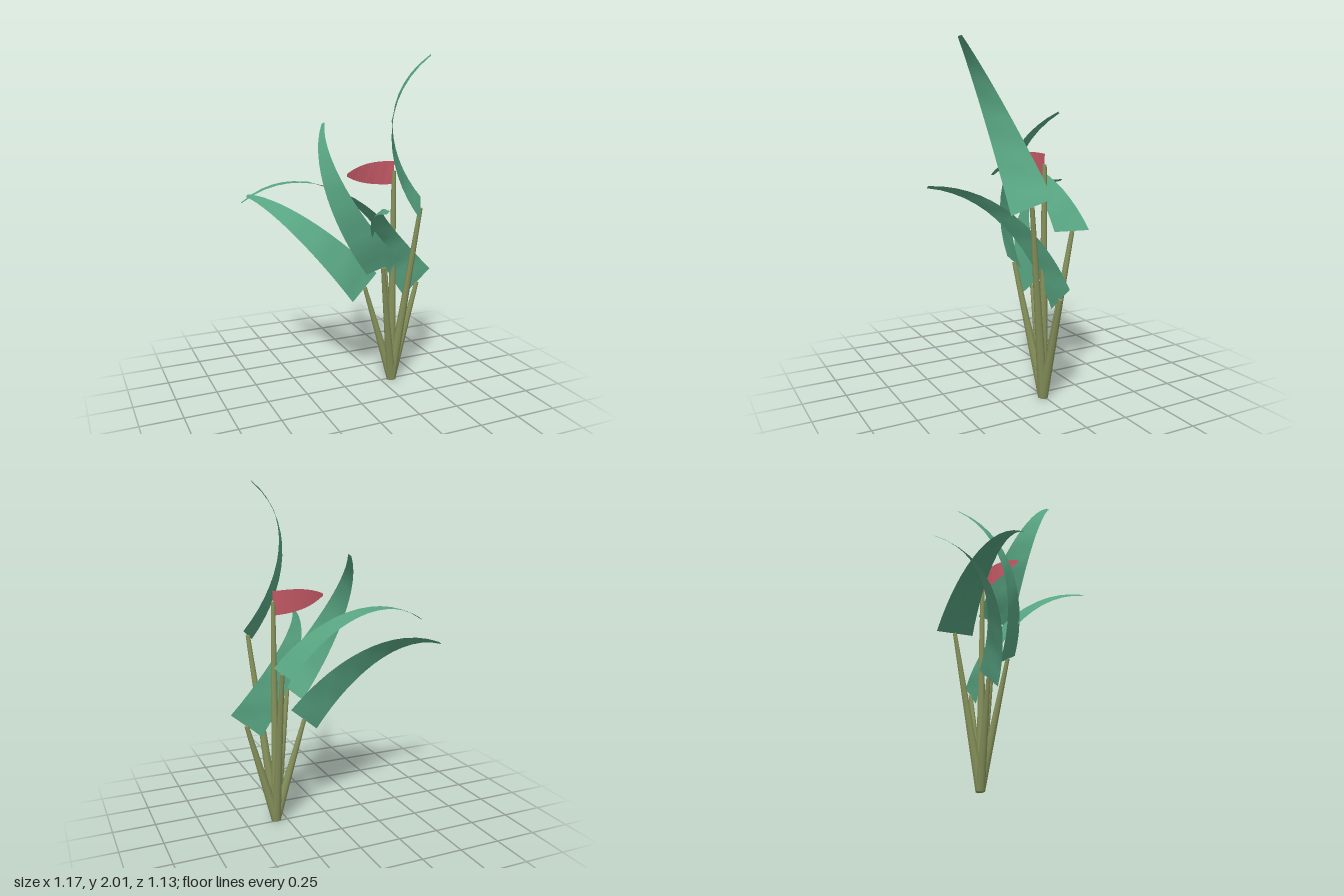
import * as THREE from 'three';

const leafGreen = new THREE.MeshStandardMaterial({ color: 0x58a582, side: THREE.DoubleSide });
leafGreen.name = 'leafGreen';
const stemOlive = new THREE.MeshStandardMaterial({ color: 0x87935c });
stemOlive.name = 'stemOlive';
const petalRed = new THREE.MeshStandardMaterial({ color: 0xc95c69, side: THREE.DoubleSide });
petalRed.name = 'petalRed';

const vec = (x, y, z) => new THREE.Vector3(x, y, z);
const ROOT = vec(0.317, 0.007, 0.012);

// Tapered stem running from the shared root to its top
function stem(name, top) {
  const dir = top.clone().sub(ROOT);
  const geo = new THREE.CylinderGeometry(0.013, 0.03, dir.length(), 8);
  const mesh = new THREE.Mesh(geo, stemOlive);
  mesh.name = name;
  mesh.position.copy(ROOT).addScaledVector(dir, 0.5);
  mesh.quaternion.setFromUnitVectors(vec(0, 1, 0), dir.normalize());
  return mesh;
}

// Ribbon that leaves its base along u and bends towards v
function blade(name, material, base, u, v, shape) {
  const across = new THREE.Vector3().crossVectors(u, v).normalize();
  const rows = 14, cols = 4, positions = [], index = [];
  for (let i = 0; i <= rows; i++) {
    const t = i / rows;
    const [along, bend] = shape.curve(t);
    const [alongD, bendD] = shape.tangent(t);
    const centre = base.clone().addScaledVector(u, along).addScaledVector(v, bend);
    const normal = u.clone().multiplyScalar(-bendD).addScaledVector(v, alongD).normalize();
    const width = shape.width(t);
    // slight uneven crease along the midrib, with straight rims
    const crease = width * shape.ripple * Math.sin(i * 2.2);
    for (let j = 0; j <= cols; j++) {
      const s = j / cols - 0.5;
      const p = centre.clone().addScaledVector(across, s * width)
        .addScaledVector(normal, crease * (1 - 2 * Math.abs(s)));
      positions.push(p.x, p.y, p.z);
      if (i < rows && j < cols) {
        const a = i * (cols + 1) + j, b = a + cols + 1;
        index.push(a, b, a + 1, a + 1, b, b + 1);
      }
    }
  }
  const geo = new THREE.BufferGeometry();
  geo.setAttribute('position', new THREE.Float32BufferAttribute(positions, 3));
  geo.setIndex(index);
  geo.computeVertexNormals();
  const mesh = new THREE.Mesh(geo, material);
  mesh.name = name;
  return mesh;
}

const leafShape = {
  curve: t => [1.1 * t - 0.33 * t ** 3, 0.558 * t * t],
  tangent: t => [1.1 - 0.99 * t * t, 1.116 * t],
  width: t => 0.24 - 0.218 * (0.77 * t + 0.46 * t * t - 0.23 * t ** 3),
  ripple: 0.045,
};
const petalShape = {
  curve: t => [0.35 * t, 0.095 * t * t],
  tangent: t => [0.35, 0.19 * t],
  width: t => 0.015 + 0.125 * (1 - t ** 2.7),
  ripple: 0.015,
};

export function createModel() {
  const plant = new THREE.Group();
  plant.name = 'plant';

  // Every leaf sets off in the same direction, then bends its own way
  const u = vec(-0.643, 0.766, 0);
  const side = vec(0.766, 0.643, 0);
  const leaves = [
    // base, bend along side, bend along z
    [vec(0.14, 0.625, -0.015), -0.18, -0.98],
    [vec(0.49, 0.625, 0.008), 0, 1],
    [vec(0.33, 0.96, -0.165), -1, 0.08],
    [vec(0.425, 1.13, 0.148), 0.8, 0.6],
    [vec(0.19, 0.785, 0.13), 0.67, -0.75],
  ];
  leaves.forEach(([base, a, b], i) => {
    const v = side.clone().multiplyScalar(a).add(vec(0, 0, b)).normalize();
    plant.add(stem('leafStem' + (i + 1), base));
    plant.add(blade('leaf' + (i + 1), leafGreen, base, u, v, leafShape));
  });

  // Upright flower stem with a single sideways petal
  plant.add(stem('flowerStem', vec(0.315, 1.34, 0.01)));
  plant.add(blade('petal', petalRed, vec(0.315, 1.33, 0.01),
    vec(-1, 0.05, 0).normalize(), vec(0, 0, 1), petalShape));
  return plant;
}
